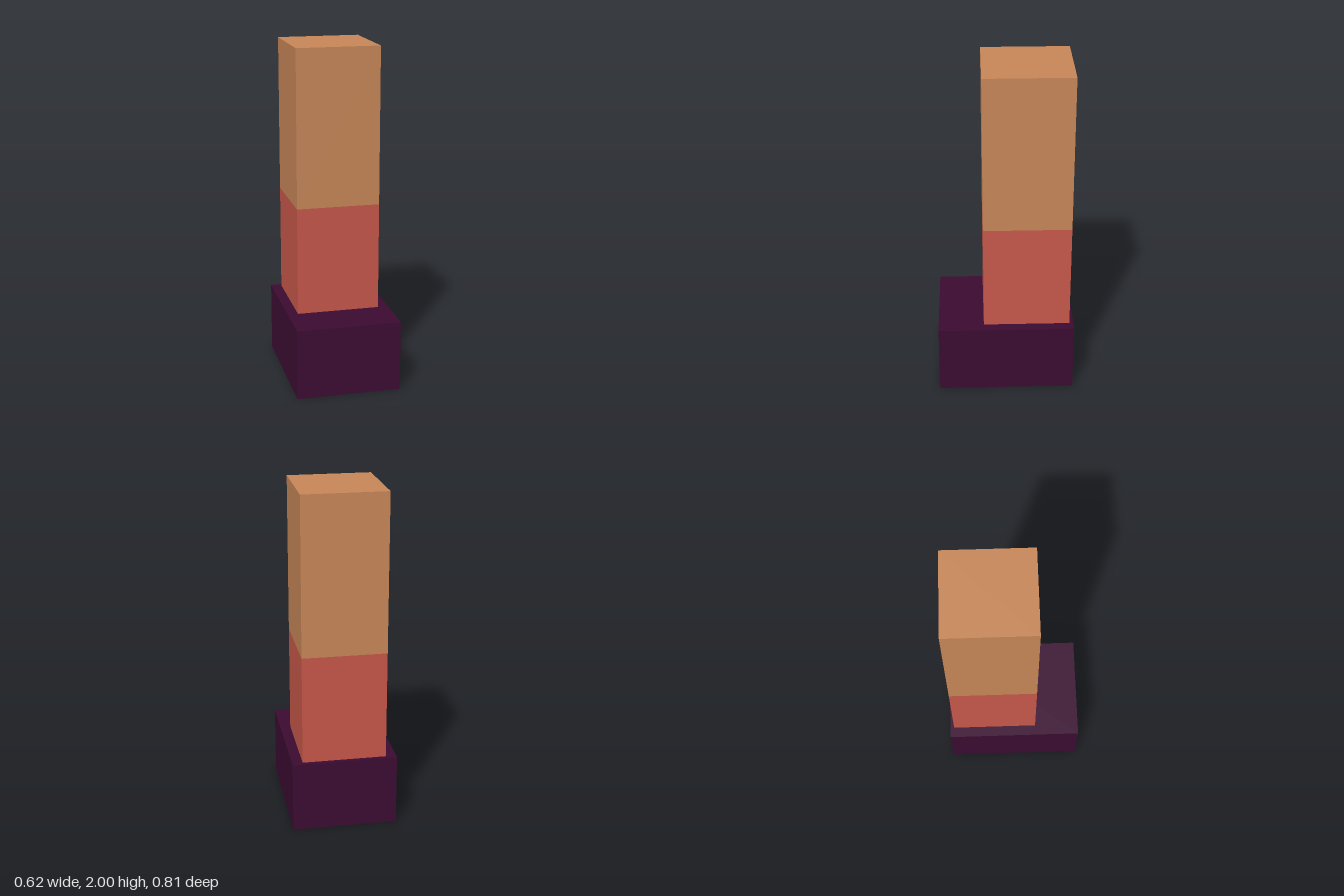
import * as THREE from 'three';

// Flat colours
const material = (name, color) => {
  const m = new THREE.MeshStandardMaterial({ color });
  m.name = name;
  return m;
};

// Box spanning y0..y1, centred on x = 0 and on the given z
function block(name, width, depth, y0, y1, z, mat) {
  const mesh = new THREE.Mesh(new THREE.BoxGeometry(width, y1 - y0, depth), mat);
  mesh.name = name;
  mesh.position.set(0, (y0 + y1) / 2, z);
  return mesh;
}

export function createModel() {
  const plum = material('dark plum', 0x3c0c32);
  const coral = material('coral red', 0xc9584b);
  const tan = material('warm tan', 0xc98859);

  const model = new THREE.Group();
  model.name = 'blockLeg';
  model.add(
    // Shoe extends further forward than the leg above it
    block('shoe', 0.618, 0.812, 0, 0.422, 0, plum),
    // Sock and bare leg share one footprint, set towards the heel
    block('sock', 0.494, 0.516, 0.422, 1.067, -0.124, coral),
    block('leg', 0.494, 0.516, 1.067, 2, -0.124, tan),
  );
  return model;
}
